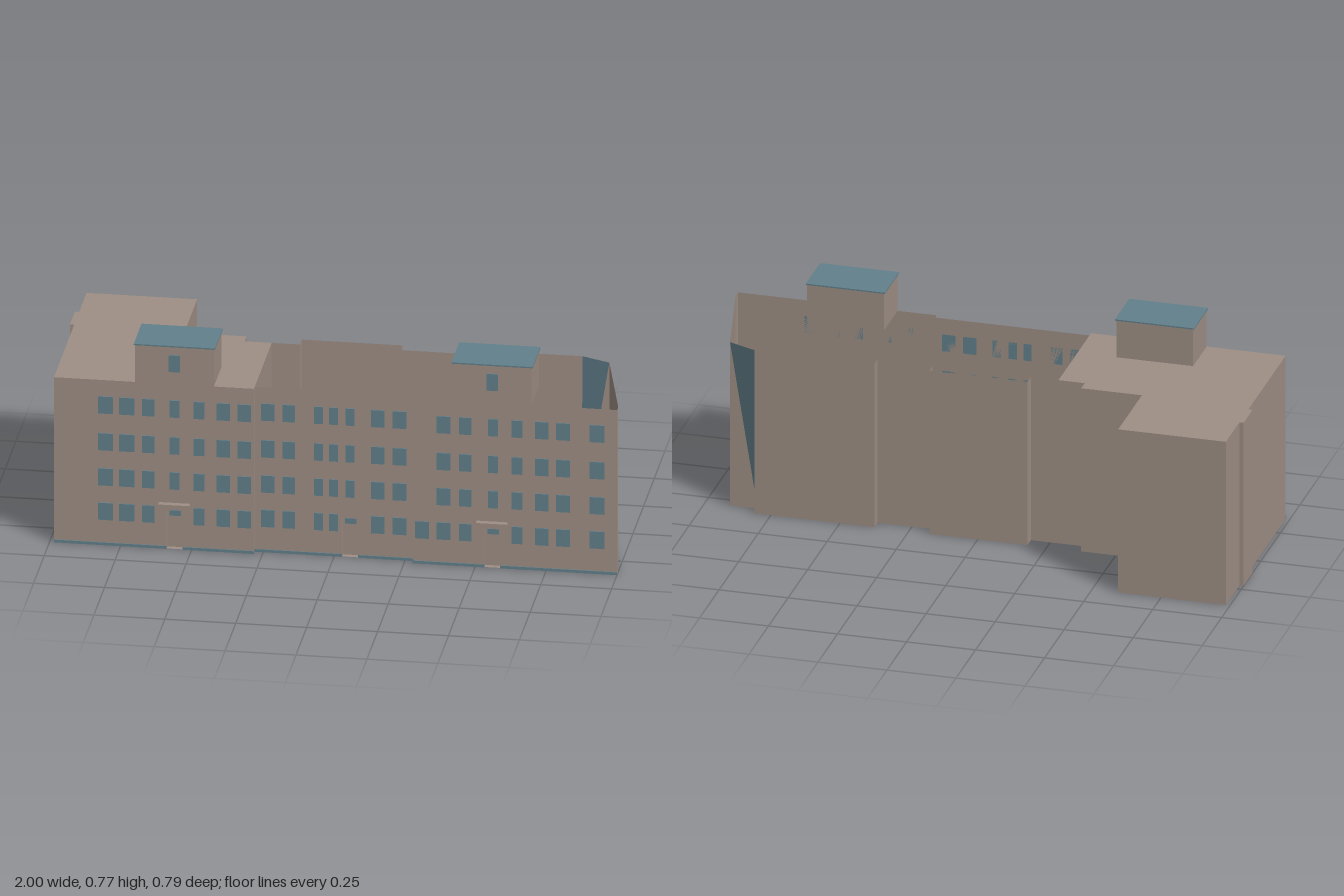
import * as THREE from 'three';

export function createModel() {
  const model = new THREE.Group();
  model.name = 'apartmentBlock';
  const wallMat = new THREE.MeshStandardMaterial({ color: 0x9f8f85, side: THREE.DoubleSide });
  wallMat.name = 'taupe wall';
  const blueMat = new THREE.MeshStandardMaterial({ color: 0x62808c, side: THREE.DoubleSide });
  blueMat.name = 'slate blue';
  const H = 0.623;

  const add = (name, geometry, material = wallMat) => {
    const mesh = new THREE.Mesh(geometry, material);
    mesh.name = name;
    model.add(mesh);
    return mesh;
  };
  // box given by its limits
  const box = (name, x0, x1, y0, y1, z0, z1, material) =>
    add(name, new THREE.BoxGeometry(x1 - x0, y1 - y0, z1 - z0), material)
      .position.set((x0 + x1) / 2, (y0 + y1) / 2, (z0 + z1) / 2);
  // upright sheet between two plan points, outside on the right of the path a -> b
  const wall = (name, [ax, az], [bx, bz], h = H) => {
    const mesh = add(name, new THREE.PlaneGeometry(Math.hypot(bx - ax, bz - az), h));
    mesh.position.set((ax + bx) / 2, h / 2, (az + bz) / 2);
    mesh.rotation.y = Math.atan2(az - bz, bx - ax);
  };
  // level sheet from plan points
  const slab = (name, points, y) => {
    const shape = new THREE.Shape(points.map(([x, z]) => new THREE.Vector2(x, z)));
    add(name, new THREE.ShapeGeometry(shape).rotateX(Math.PI / 2)).position.y = y;
  };
  const triangle = (name, points, material) => {
    const g = new THREE.BufferGeometry().setFromPoints(points.map((p) => new THREE.Vector3(...p)));
    g.computeVertexNormals();
    add(name, g, material);
  };

  // plan outline, starting at the front and running round the +x end and the back
  const rightEnd = [[0.28, 0.372], [1, 0.372], [1, 0.345], [0.91, -0.045], [0.81, -0.045], [0.81, -0.087]];
  const back = [[0.375, -0.087], [0.375, -0.047], [0.175, -0.047], [0.175, -0.09], [-0.18, -0.09], [-0.18, -0.045]];
  const leftEnd = [[-0.375, -0.045], [-0.375, -0.09], [-0.595, -0.09], [-0.595, -0.393], [-0.985, -0.393],
    [-0.985, -0.22], [-1, -0.22], [-1, -0.105], [-0.985, -0.105], [-0.985, 0.372], [-0.28, 0.372]];
  const outline = [...rightEnd, ...back, ...leftEnd, [-0.28, 0.352], [0.28, 0.352]];
  slab('floor', outline, 0);
  slab('leftRoof', [[-0.28, -0.045], ...leftEnd], H);

  // plain walls; the front bays and the cut corner are made separately
  outline.forEach((a, i) => {
    const b = outline[(i + 1) % outline.length];
    const isFront = a[1] > 0.35 && a[1] === b[1];
    const isCutCorner = i === 3 || i === 4;
    if (!isFront && !isCutCorner) wall('outerWall', a, b);
  });
  wall('partyWall', [-0.28, 0.352], [-0.28, -0.045]);

  // cut corner with its sloping blue pane
  const inner = [0.81, 0, -0.045], topSide = [0.91, H, -0.045], topBack = [0.81, H, -0.087];
  triangle('cornerPane', [inner, topBack, topSide], blueMat);
  triangle('cornerSideWall', [[0.91, 0, -0.045], inner, topSide]);
  triangle('cornerBackWall', [inner, [0.81, 0, -0.087], topBack]);

  // front bays with recessed doorways
  const bays = [
    { x0: -0.985, x1: -0.28, z: 0.372, door: -0.56, canopy: true },
    { x0: -0.28, x1: 0.28, z: 0.352, door: 0.056, canopy: false },
    { x0: 0.28, x1: 1, z: 0.372, door: 0.56, canopy: true },
  ];
  for (const { x0, x1, z, door, canopy } of bays) {
    const d0 = door - 0.028, d1 = door + 0.028, top = 0.147, deep = z - 0.02;
    const shape = new THREE.Shape();
    [[x0, 0], [d0, 0], [d0, top], [d1, top], [d1, 0], [x1, 0], [x1, H], [x0, H]]
      .forEach(([x, y], i) => (i ? shape.lineTo(x, y) : shape.moveTo(x, y)));
    add('frontWall', new THREE.ShapeGeometry(shape)).position.z = z;
    wall('doorReveal', [d0, z], [d0, deep], top);
    wall('doorPanel', [d0, deep], [d1, deep], top);
    wall('doorReveal', [d1, deep], [d1, z], top);
    slab('doorHead', [[d0, deep], [d1, deep], [d1, z], [d0, z]], top);
    box('doorLight', d0 + 0.008, d1 - 0.008, 0.118, 0.138, deep, deep + 0.003, blueMat);
    if (canopy) box('canopy', door - 0.055, door + 0.055, 0.165, 0.174, z, 0.394);
    // thin plinth strips either side of the door
    box('plinth', x0, d0, 0, 0.01, z, z + 0.004, blueMat);
    box('plinth', d1, x1, 0, 0.01, z, z + 0.004, blueMat);
  }

  // window columns: centre x, width
  const columns = [
    [-0.803, 0.053], [-0.728, 0.053], [-0.652, 0.043], [-0.56, 0.034], [-0.474, 0.038], [-0.388, 0.048],
    [-0.314, 0.048], [-0.234, 0.048], [-0.16, 0.043], [-0.055, 0.03], [-0.002, 0.03], [0.056, 0.03],
    [0.154, 0.048], [0.23, 0.048], [0.313, 0.048], [0.388, 0.048], [0.465, 0.043], [0.563, 0.034],
    [0.647, 0.038], [0.735, 0.048], [0.81, 0.048], [0.93, 0.053]];
  const doorColumns = [3, 11, 17];
  [0.128, 0.258, 0.391, 0.53].forEach((y, row) => columns.forEach(([x, w], i) => {
    if (row === 0 ? doorColumns.includes(i) : i === 14) return;
    const z = Math.abs(x) < 0.28 ? 0.352 : 0.372;
    box('window', x - w / 2, x + w / 2, y - 0.032, y + 0.032, z, z + 0.005, blueMat);
  }));

  // stair heads on the roof line
  for (const x of [-0.56, 0.56]) {
    box('stairHead', x - 0.139, x + 0.139, H, 0.764, 0.198, 0.372);
    box('stairHeadRoof', x - 0.143, x + 0.143, 0.764, 0.769, 0.194, 0.377, blueMat);
    box('stairHeadWindow', x - 0.02, x + 0.02, 0.67, 0.733, 0.372, 0.377, blueMat);
  }
  return model;
}
